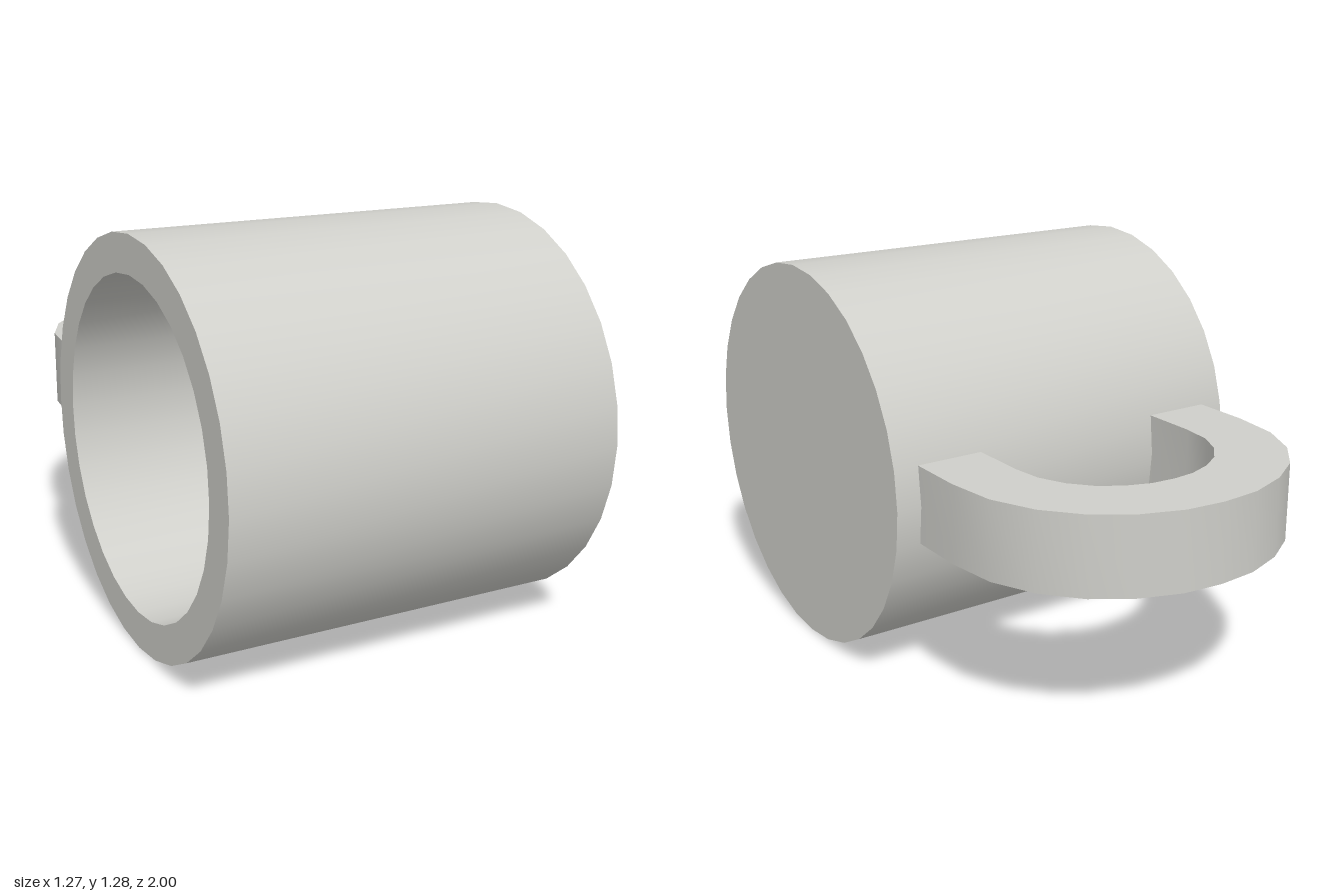
import * as THREE from 'three';
import { toCreasedNormals } from 'three/addons/utils/BufferGeometryUtils.js';

export function createModel() {
  const group = new THREE.Group();
  const ceramic = new THREE.MeshStandardMaterial({ color: 0xcfcfca });
  ceramic.name = 'pale grey ceramic';

  const R = 0.638, r = 0.52, half = 0.637, wall = 0.12;

  // Cup lying on its side: closed base at +x, open mouth at -x
  const profile = [
    [0, -half], [R, -half], [R, half], [r, half], [r, -half + wall], [0, -half + wall],
  ].map(([x, y]) => new THREE.Vector2(x, y));
  const cupGeo = toCreasedNormals(new THREE.LatheGeometry(profile, 32), 0.5);
  cupGeo.rotateZ(Math.PI / 2);
  const cup = new THREE.Mesh(cupGeo, ceramic);
  cup.name = 'cup';
  cup.position.set(0, R, 0.362);
  group.add(cup);

  // Handle: half arch offsets from the arc centre, mirrored, inner edge scaled
  const centre = 0.444, inner = 0.6, legEnd = 0.24;
  const side = [[0.555, 0.01], [0.534, 0.175], [0.471, 0.313], [0.376, 0.423], [0.26, 0.498], [0.13, 0.544]];
  const arch = [...side, [0, 0.556], ...side.map(([x, d]) => [-x, d]).reverse()];
  const outline = [
    [0.555, legEnd],
    ...arch.map(([x, d]) => [x, centre + d]),
    [-0.555, legEnd],
    [-0.555 * inner, legEnd],
    ...arch.map(([x, d]) => [x * inner, centre + d * inner]).reverse(),
    [0.555 * inner, legEnd],
  ].map(([x, d]) => new THREE.Vector2(x, d));
  const handleGeo = toCreasedNormals(
    new THREE.ExtrudeGeometry(new THREE.Shape(outline), { depth: 0.25, bevelEnabled: false }), 0.5);
  handleGeo.rotateX(-Math.PI / 2); // lay flat, arch towards -z
  const handle = new THREE.Mesh(handleGeo, ceramic);
  handle.name = 'handle';
  handle.position.y = 0.517;
  group.add(handle);

  return group;
}
